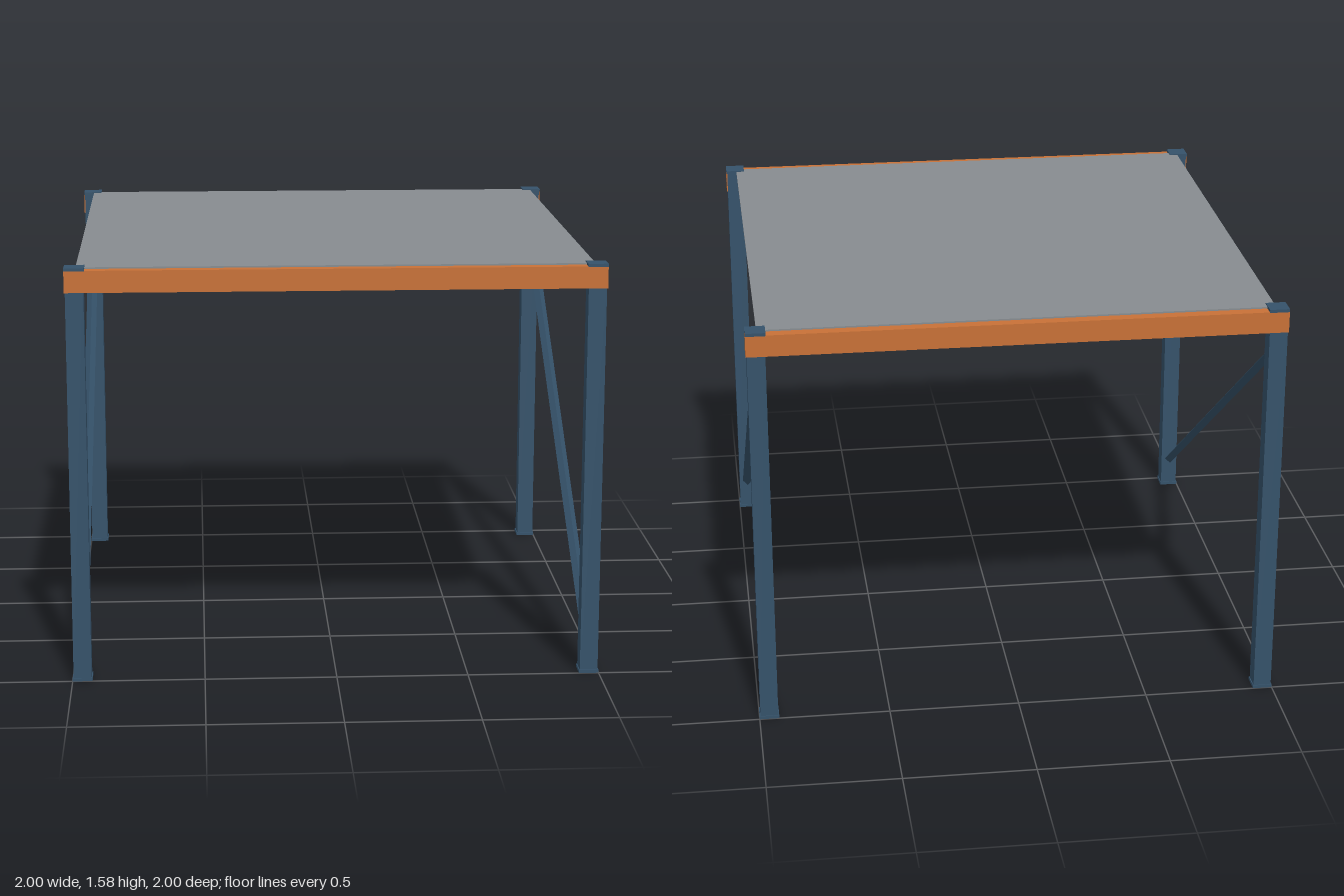
import * as THREE from 'three';

export function createModel() {
  const model = new THREE.Group();
  const material = (name, color) => {
    const m = new THREE.MeshStandardMaterial({ color });
    m.name = name;
    return m;
  };
  const steel = material('blue steel', 0x35526a);
  const orange = material('orange beam', 0xc87137);
  const grey = material('grey deck', 0x878c90);

  const box = (name, mat, w, h, d, x, y, z) => {
    const mesh = new THREE.Mesh(new THREE.BoxGeometry(w, h, d), mat);
    mesh.name = name;
    mesh.position.set(x, y, z);
    model.add(mesh);
    return mesh;
  };

  const axis = 0.9625; // distance of the post centres from the middle

  // Corner posts with foot and cap plates
  for (const x of [-axis, axis]) {
    for (const z of [-axis, axis]) {
      box('post', steel, 0.068, 1.57, 0.068, x, 0.79, z);
      box('footPlate', steel, 0.075, 0.012, 0.075, x, 0.006, z);
      box('capPlate', steel, 0.075, 0.012, 0.075, x, 1.576, z);
    }
  }

  // Front and back beams, standing just proud of the posts on the outside
  for (const side of [-1, 1]) {
    box('mainBeam', orange, 2, 0.082, 0.067, 0, 1.531, side * 0.9655);
  }

  // Joists between the beams
  for (const x of [-0.64, 0, 0.64]) {
    box('joist', steel, 0.045, 0.046, 1.87, x, 1.547, 0);
  }

  // Thin deck sheet
  box('deck', grey, 1.915, 0.008, 1.915, 0, 1.574, 0);

  // Diagonal side braces: square bars set on edge, rising to the back
  const low = new THREE.Vector3(0, 0.135, 0.915);
  const high = new THREE.Vector3(0, 1.385, -0.915);
  const run = high.clone().sub(low);
  for (const x of [-axis, axis]) {
    const brace = new THREE.Mesh(
      new THREE.CylinderGeometry(0.021, 0.021, run.length(), 4).toNonIndexed(), steel);
    brace.geometry.computeVertexNormals();
    brace.name = 'diagonalBrace';
    brace.position.copy(low).add(high).multiplyScalar(0.5).setX(x);
    brace.quaternion.setFromUnitVectors(new THREE.Vector3(0, 1, 0), run.clone().normalize());
    model.add(brace);
  }

  return model;
}
